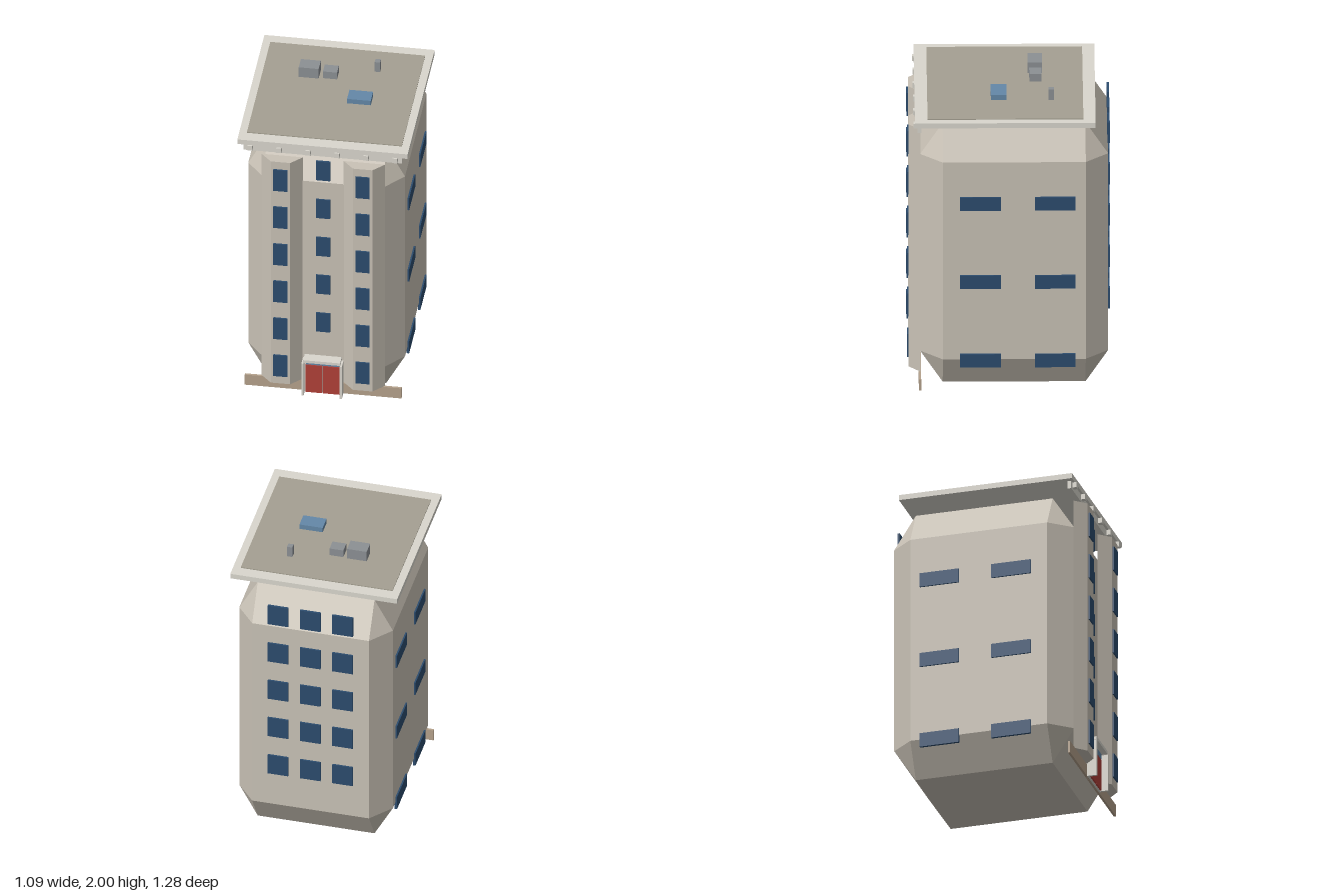
import * as THREE from 'three';
import { ConvexGeometry } from 'three/addons/geometries/ConvexGeometry.js';

const mat = (color) => new THREE.MeshStandardMaterial({ color, flatShading: true });

export function createModel() {
  const model = new THREE.Group();
  const wall = mat(0xc9c2b6), trim = mat(0xdad7ce), roofing = mat(0xa5a092);
  const glass = mat(0x2c4c6e), paleGlass = mat(0x6488a8), metal = mat(0x8c9094);
  const plinthMat = mat(0xb5a28c), doorMat = mat(0xb04038);

  const add = (name, geometry, material, parent = model) => {
    const mesh = new THREE.Mesh(geometry, material);
    mesh.name = name;
    parent.add(mesh);
    return mesh;
  };
  // Box given by its extents along each axis
  const box = (name, [x0, x1], [y0, y1], [z0, z1], material, parent) => {
    const mesh = add(name, new THREE.BoxGeometry(x1 - x0, y1 - y0, z1 - z0), material, parent);
    mesh.position.set((x0 + x1) / 2, (y0 + y1) / 2, (z0 + z1) / 2);
    return mesh;
  };
  const group = (name) => {
    const g = new THREE.Group();
    g.name = name;
    model.add(g);
    return g;
  };

  // Main block: a box with every edge chamfered by 12 % of each dimension
  const half = [0.5, 0.92, 0.593], points = [];
  for (let face = 0; face < 3; face++) {
    for (const sx of [-1, 1]) for (const sy of [-1, 1]) for (const sz of [-1, 1]) {
      const p = [sx, sy, sz].map((s, i) => s * half[i] * (i === face ? 1 : 0.76));
      points.push(new THREE.Vector3(...p));
    }
  }
  add('mainBlock', new ConvexGeometry(points), wall).position.set(0, 0.92, -0.037);

  // Two bay columns on the front
  const bayShape = new THREE.Shape([[-0.132, 0.555], [0.132, 0.555], [0.062, 0.628], [-0.062, 0.628]]
    .map(([x, z]) => new THREE.Vector2(x, z)));
  const bayGeometry = new THREE.ExtrudeGeometry(bayShape, { depth: 1.72, bevelEnabled: false });
  bayGeometry.rotateX(Math.PI / 2);
  for (const [side, x] of [['left', 0.262], ['right', -0.262]]) {
    add(side + 'Bay', bayGeometry, wall).position.set(x, 1.8, 0);
  }

  // Windows
  const windows = group('windows');
  for (let i = 0; i < 6; i++) {
    const y = 0.14 + i * 0.288;
    for (const x of [-0.262, 0.262]) {
      box('bayWindow', [x - 0.045, x + 0.045], [y, y + 0.163], [0.623, 0.638], glass, windows);
    }
  }
  for (let i = 0; i < 5; i++) {
    const rows = [0.463 + i * 0.294, 0.608 + i * 0.294];
    box('centreWindow', [-0.045, 0.045], rows, [0.55, 0.565], glass, windows);
    for (const x of [-0.21, 0, 0.21]) {
      box('backWindow', [x - 0.067, x + 0.067], rows, [-0.641, -0.626], glass, windows);
    }
  }
  for (const y of [0.167, 0.725, 1.28]) {
    for (const z of [-0.295, 0.177]) for (const x of [-0.502, 0.502]) {
      box('sideWindow', [x - 0.008, x + 0.008], [y, y + 0.094], [z - 0.129, z + 0.129], glass, windows);
    }
  }

  // Plinth strip and entrance
  box('plinth', [-0.5, 0.5], [0, 0.078], [0.55, 0.565], plinthMat);
  const entrance = group('entrance');
  for (const s of [-1, 1]) {
    const jambX = s * 0.122, leafX = s * 0.056;
    box('doorJamb', [jambX - 0.007, jambX + 0.007], [0, 0.248], [0.556, 0.628], trim, entrance);
    box('doorLeaf', [leafX - 0.053, leafX + 0.053], [0.003, 0.212], [0.57, 0.588], doorMat, entrance);
  }
  box('doorFrame', [-0.115, 0.115], [0, 0.255], [0.556, 0.578], trim, entrance);
  box('transomWindow', [-0.106, 0.106], [0.217, 0.253], [0.57, 0.588], paleGlass, entrance);
  box('canopy', [-0.118, 0.118], [0.254, 0.274], [0.556, 0.625], trim, entrance);

  // Overhanging roof slab, with a beam and brackets under the front edge
  const roof = group('roof');
  box('roofSlab', [-0.543, 0.543], [1.885, 1.92], [-0.55, 0.59], trim, roof);
  box('roofDeck', [-0.494, 0.494], [1.919, 1.926], [-0.473, 0.51], roofing, roof);
  box('frontBeam', [-0.505, 0.505], [1.834, 1.885], [0.548, 0.574], trim, roof);
  for (let i = 0; i < 6; i++) {
    const x = -0.4625 + i * 0.185;
    box('bracket', [x - 0.016, x + 0.016], [1.85, 1.885], [0.572, 0.6], trim, roof);
  }

  // Rooftop equipment
  box('largeUnit', [-0.26, -0.133], [1.925, 2], [-0.218, -0.127], metal, roof);
  box('smallUnit', [-0.107, -0.017], [1.925, 1.978], [-0.212, -0.136], metal, roof);
  box('ventPipe', [0.205, 0.24], [1.925, 2], [-0.29, -0.254], metal, roof);
  box('skylight', [0.084, 0.235], [1.925, 1.96], [0.009, 0.109], paleGlass, roof);

  return model;
}
